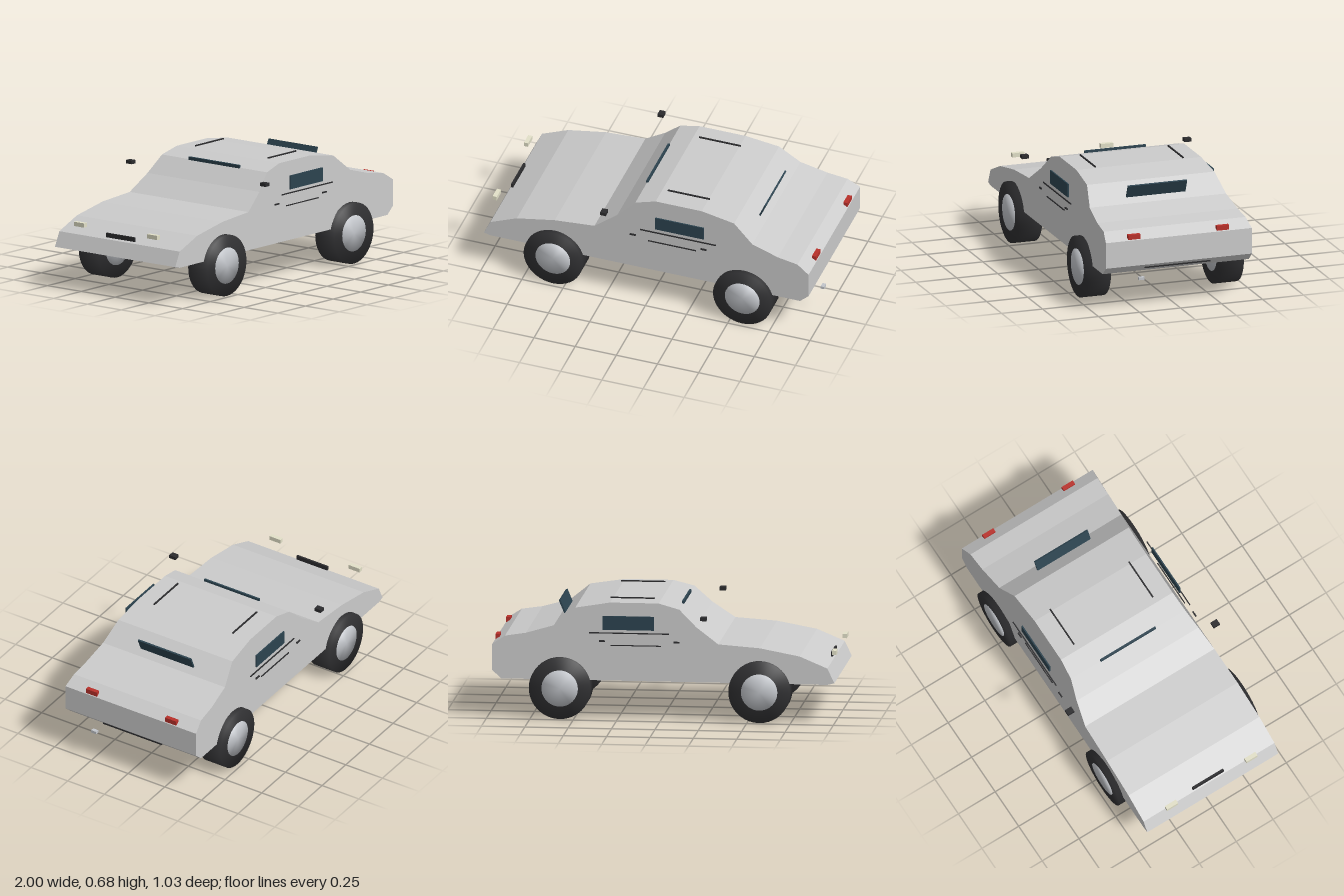
import * as THREE from 'three';

const material = (color) => new THREE.MeshStandardMaterial({ color });
const grey = material(0xcccccc);
const tyreMat = material(0x303032);
const hubMat = material(0xc2c5ca);
const glassMat = material(0x2c434f);
const trimMat = material(0x2c2c2e);
const lampMat = material(0xe2e0c8);
const redMat = material(0xb8302a);

const WHEEL_Y = 0.178, WHEEL_R = 0.178, ARCH_R = 0.165, SILL = 0.225, HALF = 0.445;
const AXLES = [['front', -0.57], ['rear', 0.58]];

export function createModel() {
  const car = new THREE.Group();
  car.name = 'car';

  function add(name, geometry, mat, x, y, z, tilt = 0) {
    const mesh = new THREE.Mesh(geometry, mat);
    mesh.name = name;
    mesh.position.set(x, y, z);
    mesh.rotation.z = tilt;
    car.add(mesh);
    return mesh;
  }
  const box = (name, mat, [w, h, d], [x, y, z], tilt) =>
    add(name, new THREE.BoxGeometry(w, h, d), mat, x, y, z, tilt);
  // One box on each side of the centre plane
  const pair = (name, mat, size, [x, y, z]) => {
    for (const s of [1, -1]) box(name, mat, size, [x, y, s * z]);
  };

  // Body: side profile with wheel arches, extruded across the width
  const outline = [
    [-1, 0.235], [-0.96, 0.32], [-0.8, 0.387], [-0.57, 0.43], [-0.33, 0.447],
    [-0.2, 0.54], [-0.1, 0.635], [0.02, 0.667], [0.3, 0.667], [0.5, 0.635],
    [0.62, 0.535], [0.78, 0.49], [0.9, 0.472], [0.972, 0.425], [0.972, 0.272], [0.92, SILL],
  ];
  const shape = new THREE.Shape();
  outline.forEach(([x, y], i) => (i ? shape.lineTo(x, y) : shape.moveTo(x, y)));
  const a = Math.asin((SILL - WHEEL_Y) / ARCH_R);
  for (const [, x] of [...AXLES].reverse()) {
    shape.absarc(x, WHEEL_Y, ARCH_R, a, Math.PI - a, false);
  }
  shape.lineTo(-0.96, SILL);
  shape.closePath();
  const body = new THREE.ExtrudeGeometry(shape, { depth: HALF * 2, bevelEnabled: false, curveSegments: 16 });
  body.translate(0, 0, -HALF);
  // Lean the cabin sides inward above the belt line
  const p = body.attributes.position;
  for (let i = 0; i < p.count; i++) {
    const lean = Math.max(0, p.getY(i) - 0.425) * 0.27;
    p.setZ(i, Math.sign(p.getZ(i)) * (HALF - lean));
  }
  add('body', body, grey, 0, 0, 0);

  // Wheels: tyre and hub as smooth discs
  const disc = (r, h) => new THREE.LatheGeometry(
    [[0, -h], [r, -h], [r, h], [0, h]].map(([u, v]) => new THREE.Vector2(u, v)), 40).rotateX(Math.PI / 2);
  const tyre = disc(WHEEL_R, 0.07);
  const hub = disc(0.105, 0.073);
  for (const [end, x] of AXLES) {
    for (const s of [1, -1]) {
      add(end + 'Tyre', tyre, tyreMat, x, WHEEL_Y, s * 0.405);
      add(end + 'Hub', hub, hubMat, x, WHEEL_Y, s * 0.405);
    }
  }

  // Glass
  pair('sideWindow', glassMat, [0.295, 0.08, 0.008], [0.188, 0.56, 0.443]);
  box('windscreen', glassMat, [0.012, 0.08, 0.375], [-0.097, 0.61, 0], 0.05);
  box('rearWindow', glassMat, [0.01, 0.08, 0.36], [0.598, 0.602, 0], -0.4);

  // Door trim and handles
  pair('beltTrim', trimMat, [0.46, 0.006, 0.006], [0.182, 0.503, 0.455]);
  pair('doorTrim', trimMat, [0.29, 0.005, 0.006], [0.145, 0.431, 0.45]);
  for (const x of [-0.092, 0.338]) {
    pair('doorHandle', trimMat, [0.035, 0.008, 0.008], [x, 0.456, 0.456]);
  }

  // Roof rails and mirrors
  pair('roofRail', trimMat, [0.255, 0.007, 0.008], [0.183, 0.677, 0.268]);
  pair('mirror', trimMat, [0.035, 0.02, 0.042], [-0.252, 0.604, 0.495]);

  // Nose and tail fittings
  pair('headlight', lampMat, [0.025, 0.025, 0.075], [-0.983, 0.387, 0.27]);
  box('grille', trimMat, [0.012, 0.025, 0.21], [-0.948, 0.342, 0]);
  pair('tailLight', redMat, [0.025, 0.028, 0.075], [0.957, 0.443, 0.27]);
  box('rearStrip', trimMat, [0.012, 0.008, 0.4], [0.95, 0.25, 0]);
  box('exhaust', hubMat, [0.022, 0.016, 0.034], [0.988, 0.199, 0.235]);

  return car;
}
